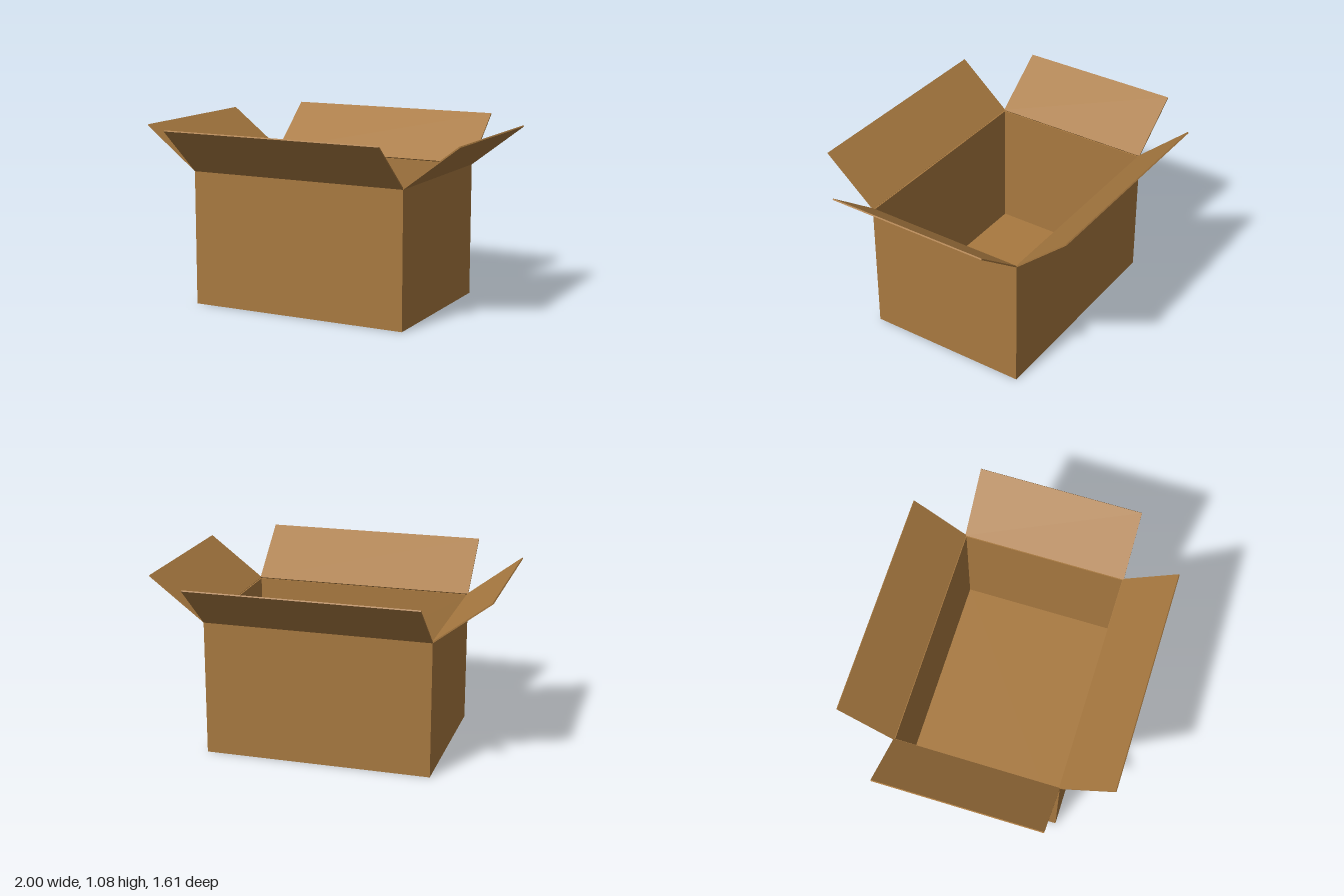
import * as THREE from 'three';

const HALF_X = 0.672, HALF_Z = 0.493, HEIGHT = 0.8;
const T = 0.008;      // board thickness
const FLAP = 0.413;   // flap length

export function createModel() {
  const model = new THREE.Group();
  model.name = 'openCardboardBox';
  const cardboard = new THREE.MeshStandardMaterial({ color: 0xa87940 });
  cardboard.name = 'cardboard brown';

  const board = (name, w, h, d, x, y, z, parent = model) => {
    const mesh = new THREE.Mesh(new THREE.BoxGeometry(w, h, d), cardboard);
    mesh.name = name;
    mesh.position.set(x, y, z);
    parent.add(mesh);
    return mesh;
  };

  // Floor fits inside the four walls
  board('floor', 2 * (HALF_X - T), T, 2 * (HALF_Z - T), 0, T / 2, 0);

  // Each side: wall, plus a flap hinged on the wall's outer top edge
  const sides = [
    { name: 'front', turn: 0, width: 2 * HALF_X, reach: HALF_Z, tilt: 41.2 },
    { name: 'left', turn: 1, width: 2 * HALF_Z, reach: HALF_X, tilt: 37.5 },
    { name: 'back', turn: 2, width: 2 * HALF_X, reach: HALF_Z, tilt: 41.2 },
    { name: 'right', turn: 3, width: 2 * HALF_Z, reach: HALF_X, tilt: 37.5 },
  ];
  for (const { name, turn, width, reach, tilt } of sides) {
    const side = new THREE.Group();
    side.name = name + 'Side';
    side.rotation.y = turn * Math.PI / 2;
    model.add(side);

    // Left and right walls sit between the front and back walls
    const wallWidth = turn % 2 ? width - 2 * T : width;
    board(name + 'Wall', wallWidth, HEIGHT, T, 0, HEIGHT / 2, reach - T / 2, side);

    const hinge = new THREE.Group();
    hinge.name = name + 'Hinge';
    hinge.position.set(0, HEIGHT, reach);
    hinge.rotation.x = -THREE.MathUtils.degToRad(tilt);
    side.add(hinge);
    board(name + 'Flap', width, T, FLAP, 0, T / 2, FLAP / 2, hinge);
  }
  return model;
}
